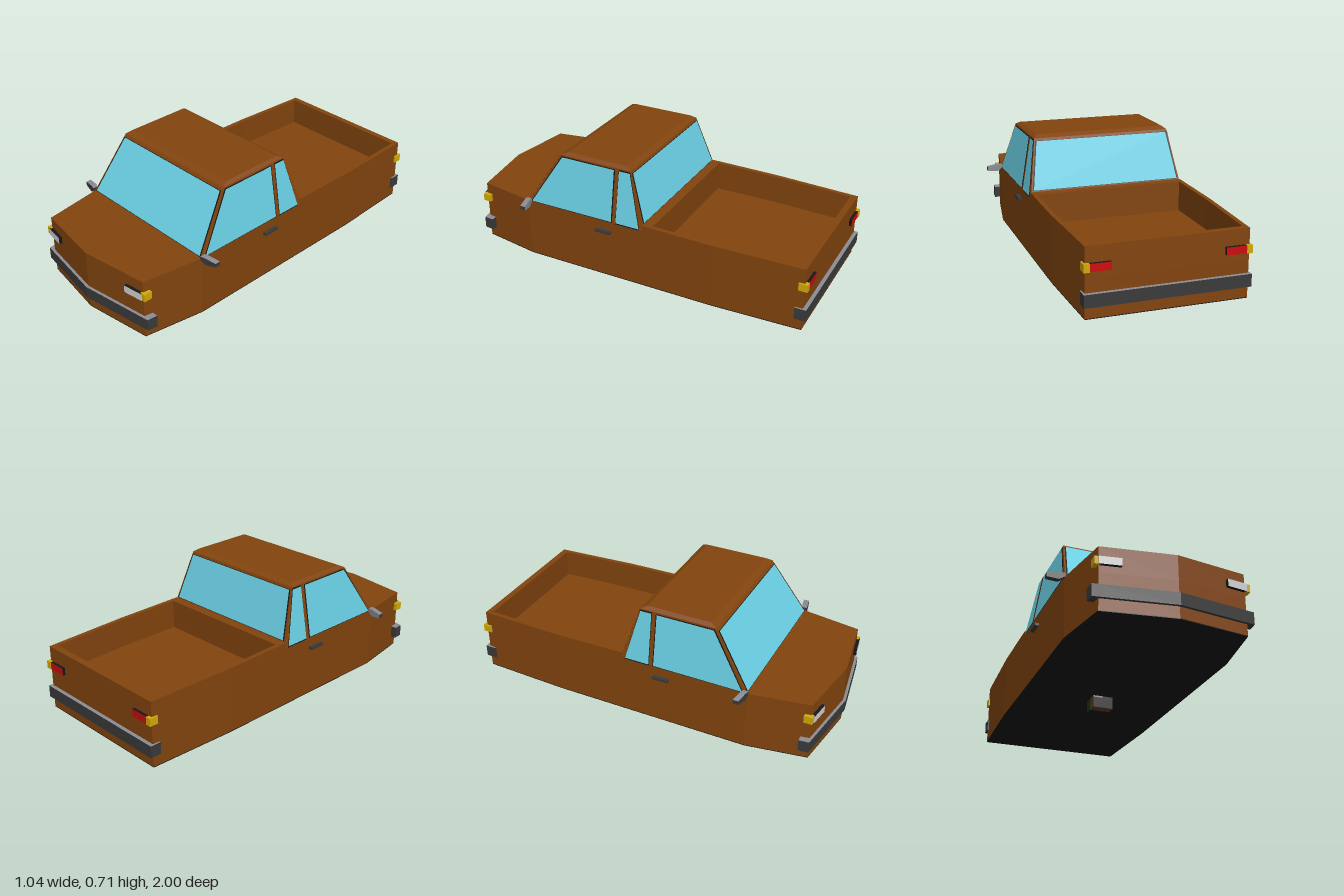
import * as THREE from 'three';

const mat = (name, color, side = THREE.FrontSide) => {
  const m = new THREE.MeshStandardMaterial({ color, side });
  m.name = name;
  return m;
};

export function createModel() {
  const paint = mat('bodyBrown', 0x82440e);
  const glass = mat('glassBlue', 0x6ad0e4, THREE.DoubleSide);
  const black = mat('black', 0x161616, THREE.DoubleSide);
  const dark = mat('darkGrey', 0x3a3a3a);
  const silver = mat('silver', 0x8c8c94);
  const white = mat('lampWhite', 0xd2d2d2);
  const yellow = mat('amber', 0xd2aa08);
  const red = mat('red', 0xcc0c0c);
  const green = mat('darkGreen', 0x0f3a14);
  const brown = mat('dullBrown', 0x5f3a26);

  const model = new THREE.Group();
  model.name = 'pickupTruck';
  const add = (name, geo, material, parent = model) => {
    const m = new THREE.Mesh(geo, material);
    m.name = name;
    parent.add(m);
    return m;
  };
  const box = (name, size, pos, material, parent) => {
    const m = add(name, new THREE.BoxGeometry(...size), material, parent);
    m.position.set(...pos);
    return m;
  };

  // Plan outline from its +x half, listed front to back
  const plan = (half) => [...half, ...half.map(([x, z]) => [-x, z]).reverse()]
    .map(([x, z]) => new THREE.Vector2(x, -z));
  // Upright prism from a plan outline
  const prism = (points, y0, y1, hole) => {
    const shape = new THREE.Shape(points);
    if (hole) shape.holes.push(new THREE.Path(hole));
    return new THREE.ExtrudeGeometry(shape, { depth: y1 - y0, bevelEnabled: false })
      .rotateX(-Math.PI / 2).translate(0, y0, 0);
  };
  // Assign material 1 to triangles whose normal passes the test, else 0
  const splitByNormal = (geo, test) => {
    const g = geo.index ? geo.toNonIndexed() : geo;
    g.computeVertexNormals();
    g.clearGroups();
    const n = g.attributes.normal;
    for (let i = 0; i < n.count; i += 3) {
      g.addGroup(i, 3, test(n.getX(i), n.getY(i), n.getZ(i)) ? 1 : 0);
    }
    return g;
  };

  // Lower hull, bonnet block and underside
  const nose = [[0, 0.985], [0.375, 0.93], [0.43, 0.605]];
  const tail = [[0.43, -0.5], [0.41, -0.98]];
  const floorY = 0.265;
  add('lowerBody', prism(plan([...nose, ...tail]), 0.07, floorY), paint);
  add('bonnetBlock', prism(plan([...nose, [0.43, -0.1]]), floorY, 0.4), paint);
  add('underside', prism(plan([...nose, ...tail]), 0.066, 0.07), black);

  // Cargo bed walls, with rails dropping slightly to the rear
  const bed = prism(plan([[0.43, -0.1], ...tail]), floorY, 0.43,
    plan([[0.405, -0.15], [0.405, -0.5], [0.387, -0.945]]));
  const bp = bed.attributes.position;
  for (let i = 0; i < bp.count; i++) {
    if (bp.getY(i) > 0.4) bp.setY(i, 0.43 + (bp.getZ(i) + 0.1) * 0.011);
  }
  bed.computeVertexNormals();
  add('bedWalls', bed, paint);

  // Cabin: a box with three levels, each given its own size
  const levels = [
    { y: 0.4, x: 0.43, front: 0.605, back: -0.11 },
    { y: 0.7, x: 0.38, front: 0.41, back: -0.01 },
    { y: 0.715, x: 0.362, front: 0.375, back: 0.02 },
  ];
  const cabin = new THREE.BoxGeometry(2, 2, 2, 1, 2, 1).toNonIndexed();
  const cp = cabin.attributes.position;
  for (let i = 0; i < cp.count; i++) {
    const l = levels[Math.round(cp.getY(i)) + 1];
    cp.setXYZ(i, cp.getX(i) * l.x, l.y, cp.getZ(i) > 0 ? l.front : l.back);
  }
  cabin.computeVertexNormals();
  add('cabin', cabin, paint);

  // Window panes with a black seal behind each
  const quad = (pts) => {
    const g = new THREE.BufferGeometry().setFromPoints(pts);
    g.setIndex([0, 1, 2, 0, 2, 3]);
    g.computeVertexNormals();
    return g;
  };
  const pane = (name, pts, out) => {
    const mid = pts.reduce((a, p) => a.add(p), new THREE.Vector3()).multiplyScalar(0.25);
    const seal = pts.map((p) => {
      const d = p.clone().sub(mid);
      return p.clone().addScaledVector(d.normalize(), 0.007).addScaledVector(out, 0.002);
    });
    add(name + 'Seal', quad(seal), black);
    add(name, quad(pts.map((p) => p.clone().addScaledVector(out, 0.004))), glass);
  };
  const V = (x, y, z) => new THREE.Vector3(x, y, z);
  const frontZ = (y) => 0.605 - 0.65 * (y - 0.4);
  const backZ = (y) => -0.11 + (y - 0.4) / 3;
  const sideX = (y) => 0.43 - (y - 0.4) / 6;
  pane('windscreen', [V(-0.415, 0.405, frontZ(0.405)), V(0.415, 0.405, frontZ(0.405)),
    V(0.37, 0.682, frontZ(0.682)), V(-0.37, 0.682, frontZ(0.682))], V(0, 0.55, 0.84));
  pane('rearWindow', [V(0.41, 0.437, backZ(0.437)), V(-0.41, 0.437, backZ(0.437)),
    V(-0.37, 0.685, backZ(0.685)), V(0.37, 0.685, backZ(0.685))], V(0, 0.32, -0.95));
  for (const s of [1, -1]) {
    const side = (name, zs) => pane(name,
      zs.map(([z, y]) => V(s * sideX(y), y, z)), V(s * 0.986, 0.164, 0));
    const label = s > 0 ? 'left' : 'right';
    side(label + 'DoorWindow', [[0.58, 0.405], [0.085, 0.405], [0.085, 0.688], [0.4, 0.688]]);
    side(label + 'QuarterWindow', [[0.057, 0.405], [-0.08, 0.405], [-0.008, 0.688], [0.055, 0.688]]);
  }

  // Wraparound bumpers with bright top edges
  const up = (x, y) => y > 0.5;
  add('frontBumper', splitByNormal(prism(plan([[0, 1], [0.41, 0.94], [0.415, 0.885],
    [0.38, 0.885], [0.37, 0.925], [0, 0.975]]), 0.13, 0.195), up), [dark, silver]);
  add('rearBumper', splitByNormal(prism(plan([[0.405, -0.975], [0.4, -0.94], [0.42, -0.94],
    [0.42, -1]]), 0.13, 0.195), up), [dark, silver]);

  // Mirrored fittings
  for (const s of [1, -1]) {
    const fit = new THREE.Group();
    fit.name = s > 0 ? 'leftFittings' : 'rightFittings';
    fit.scale.x = s;
    model.add(fit);

    // Lamps: coloured outward, black on top, bottom and inner end
    const lamp = (c) => [c, black, black, black, c, c];
    box('headlight', [0.11, 0.04, 0.03], [0.322, 0.32, 0.94], lamp(white), fit).rotation.y = 0.146;
    box('frontIndicator', [0.03, 0.041, 0.046], [0.383, 0.32, 0.919], yellow, fit);
    box('tailLight', [0.11, 0.04, 0.02], [0.34, 0.32, -0.985], lamp(red), fit);
    box('rearIndicator', [0.03, 0.041, 0.048], [0.405, 0.32, -0.974], yellow, fit);

    // Door handle and mirror mount
    box('doorHandle', [0.025, 0.014, 0.09], [0.4385, 0.341, 0.13], dark, fit);
    box('mirrorMount', [0.012, 0.008, 0.012], [0.43, 0.4, 0.605], red, fit);

    // Door mirror, swept back towards its tip
    const outline = [[0.43, 0.4], [0.445, 0.388], [0.46, 0.38], [0.52, 0.39], [0.52, 0.412],
      [0.455, 0.42], [0.43, 0.418]].map((p) => new THREE.Vector2(...p));
    const mirror = new THREE.ExtrudeGeometry(new THREE.Shape(outline),
      { depth: 0.03, bevelEnabled: false }).translate(0, 0, 0.585);
    const mp = mirror.attributes.position;
    for (let i = 0; i < mp.count; i++) mp.setZ(i, mp.getZ(i) - (mp.getX(i) - 0.43) * 0.2);
    add('doorMirror', splitByNormal(mirror, (x, y, z) => y > 0.5 || z < -0.5), [dark, silver], fit);
  }

  // Small multicoloured block under the floor
  box('underBlockFront', [0.11, 0.068, 0.053], [0, 0.034, -0.0415],
    [brown, brown, black, brown, black, black], model);
  box('underBlockRear', [0.11, 0.068, 0.053], [0, 0.034, -0.0945],
    [green, green, black, black, black, silver], model);
  box('underBlockTrim', [0.05, 0.009, 0.003], [-0.03, 0.061, -0.014], silver, model);

  return model;
}
